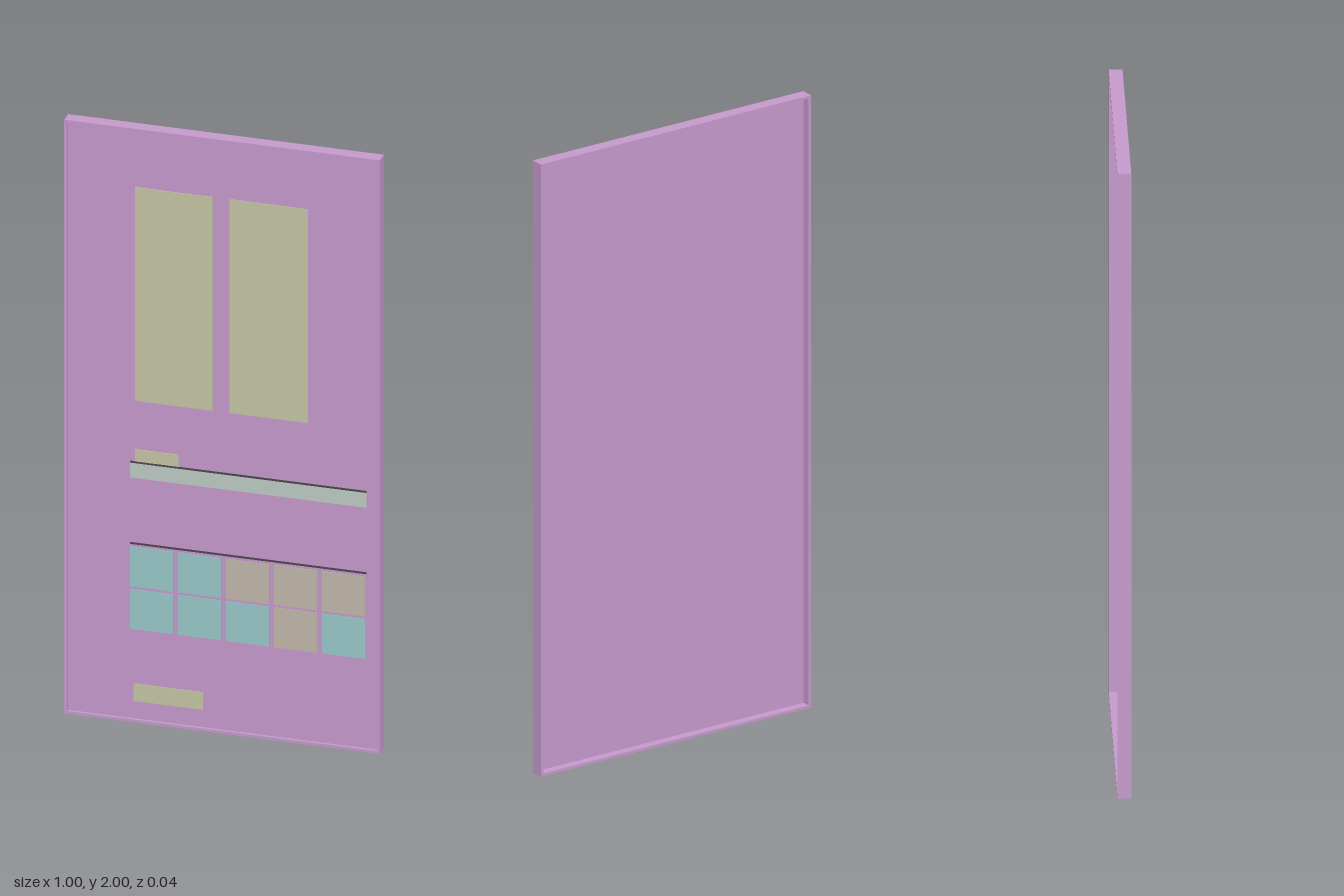
import * as THREE from 'three';

const flat = (name, color) => {
  const m = new THREE.MeshStandardMaterial({ color });
  m.name = name;
  return m;
};

export function createModel() {
  const group = new THREE.Group();
  group.name = 'panel';
  const purple = flat('purple', 0xc499cb);
  const olive = flat('olive', 0xc4c4a3);
  const teal = flat('teal', 0x97c7c7);
  const beige = flat('beige', 0xc0b7a8);
  const paleGreen = flat('paleGreen', 0xbccac4);
  const dark = flat('dark', 0x4c464c);

  // Box given by its limits along each axis
  const box = (name, material, x0, x1, y0, y1, z0, z1) => {
    const mesh = new THREE.Mesh(new THREE.BoxGeometry(x1 - x0, y1 - y0, z1 - z0), material);
    mesh.position.set((x0 + x1) / 2, (y0 + y1) / 2, (z0 + z1) / 2);
    mesh.name = name;
    group.add(mesh);
  };
  const zBack = -0.022, zFront = 0.02, rim = 0.009;
  const face = 0.011;
  const plate = (name, material, x0, x1, y0, y1) =>
    box(name, material, x0, x1, y0, y1, face - 0.001, face + 0.002);

  // Rim standing proud of the board on both sides
  box('rightRim', purple, -0.5, -0.5 + rim, 0, 2, zBack, zFront);
  box('leftRim', purple, 0.5 - rim, 0.5, 0, 2, zBack, zFront);
  box('bottomRim', purple, -0.5 + rim, 0.5 - rim, 0, rim, zBack, zFront);
  box('topRim', purple, -0.5 + rim, 0.5 - rim, 2 - rim, 2, zBack, zFront);
  box('board', purple, -0.5 + rim, 0.5 - rim, rim, 2 - rim, 0.005, face);

  // Tall upper windows
  plate('window', olive, -0.278, -0.032, 1.08, 1.8);
  plate('window', olive, 0.021, 0.27, 1.08, 1.8);

  // Label and long strip with a dark top edge
  plate('label', olive, -0.278, -0.14, 0.876, 0.917);
  plate('strip', paleGreen, -0.294, 0.455, 0.82, 0.87);
  plate('stripEdge', dark, -0.294, 0.455, 0.87, 0.876);

  // Two rows of square tiles under a dark line
  plate('tileEdge', dark, -0.294, 0.455, 0.596, 0.602);
  const rows = [[teal, teal, beige, beige, beige], [teal, teal, teal, beige, teal]];
  rows.forEach((row, r) => row.forEach((material, c) => {
    const x = -0.294 + c * 0.152, y = 0.453 - r * 0.143;
    plate('tile', material, x, x + 0.137, y, y + 0.134);
  }));

  // Lower label
  plate('lowerLabel', olive, -0.283, -0.062, 0.068, 0.127);
  return group;
}
